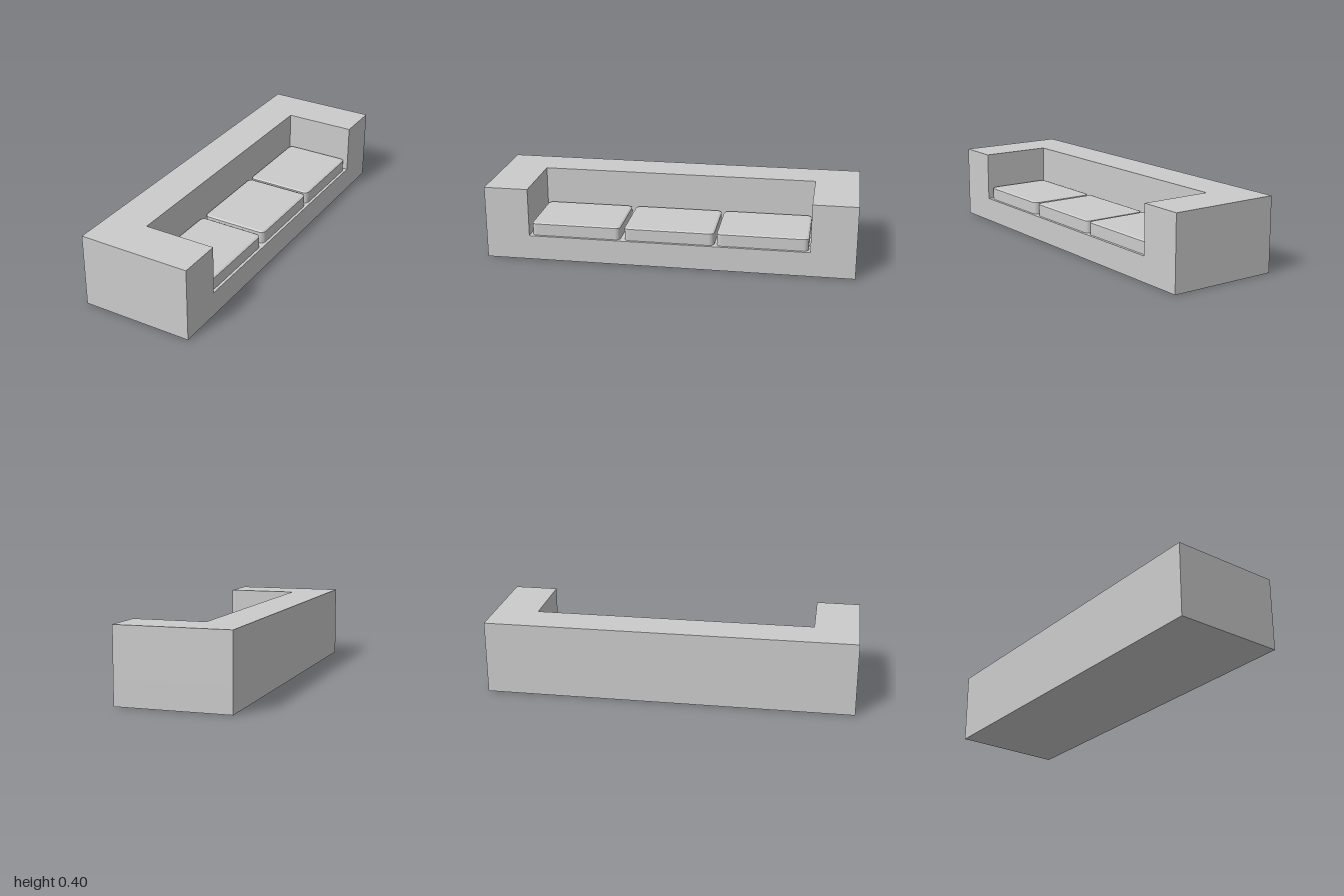
import * as THREE from 'three';

const HALF_WIDTH = 0.305, HEIGHT = 0.4, SEAT_Y = 0.135, SEAT_BACK_X = -0.085, ARM_Z = 0.76;

// Rectangle with rounded corners, centred on the origin
function roundedRect(width, height, radius) {
  const w = width / 2, h = height / 2, shape = new THREE.Shape();
  shape.absarc(w - radius, h - radius, radius, 0, Math.PI / 2);
  shape.absarc(-w + radius, h - radius, radius, Math.PI / 2, Math.PI);
  shape.absarc(-w + radius, -h + radius, radius, Math.PI, Math.PI * 1.5);
  shape.absarc(w - radius, -h + radius, radius, Math.PI * 1.5, Math.PI * 2);
  shape.closePath();
  return shape;
}

export function createModel() {
  const model = new THREE.Group();
  model.name = 'sofa';
  const material = new THREE.MeshStandardMaterial({ color: 0xcccccc });

  const add = (name, geometry, x = 0, y = 0, z = 0) => {
    const mesh = new THREE.Mesh(geometry, material);
    mesh.name = name;
    mesh.position.set(x, y, z);
    model.add(mesh);
  };

  // Solid base under the seat
  add('base', new THREE.BoxGeometry(2 * HALF_WIDTH, SEAT_Y, 2), 0, SEAT_Y / 2, 0);

  // Backrest and both arms as one U-shaped block
  const outline = new THREE.Shape([
    [-HALF_WIDTH, -1], [HALF_WIDTH, -1], [HALF_WIDTH, -ARM_Z], [SEAT_BACK_X, -ARM_Z],
    [SEAT_BACK_X, ARM_Z], [HALF_WIDTH, ARM_Z], [HALF_WIDTH, 1], [-HALF_WIDTH, 1],
  ].map(([x, y]) => new THREE.Vector2(x, y)));
  const backAndArms = new THREE.ExtrudeGeometry(outline, { depth: HEIGHT - SEAT_Y, bevelEnabled: false });
  backAndArms.rotateX(-Math.PI / 2);
  add('backAndArms', backAndArms, 0, SEAT_Y, 0);

  // Three seat cushions with a shallow bevel; the lower bevel sinks into the seat
  const bevel = 0.005, inset = 0.01;
  const cushion = new THREE.ExtrudeGeometry(roundedRect(0.365, 0.487, 0.027), {
    depth: 0.065, curveSegments: 3, bevelThickness: bevel, bevelSize: inset, bevelOffset: -inset, bevelSegments: 1,
  });
  cushion.rotateX(-Math.PI / 2);
  [0.504, -0.006, -0.507].forEach((z, i) => add(`seatCushion${i + 1}`, cushion, 0.1075, SEAT_Y, z));

  return model;
}
